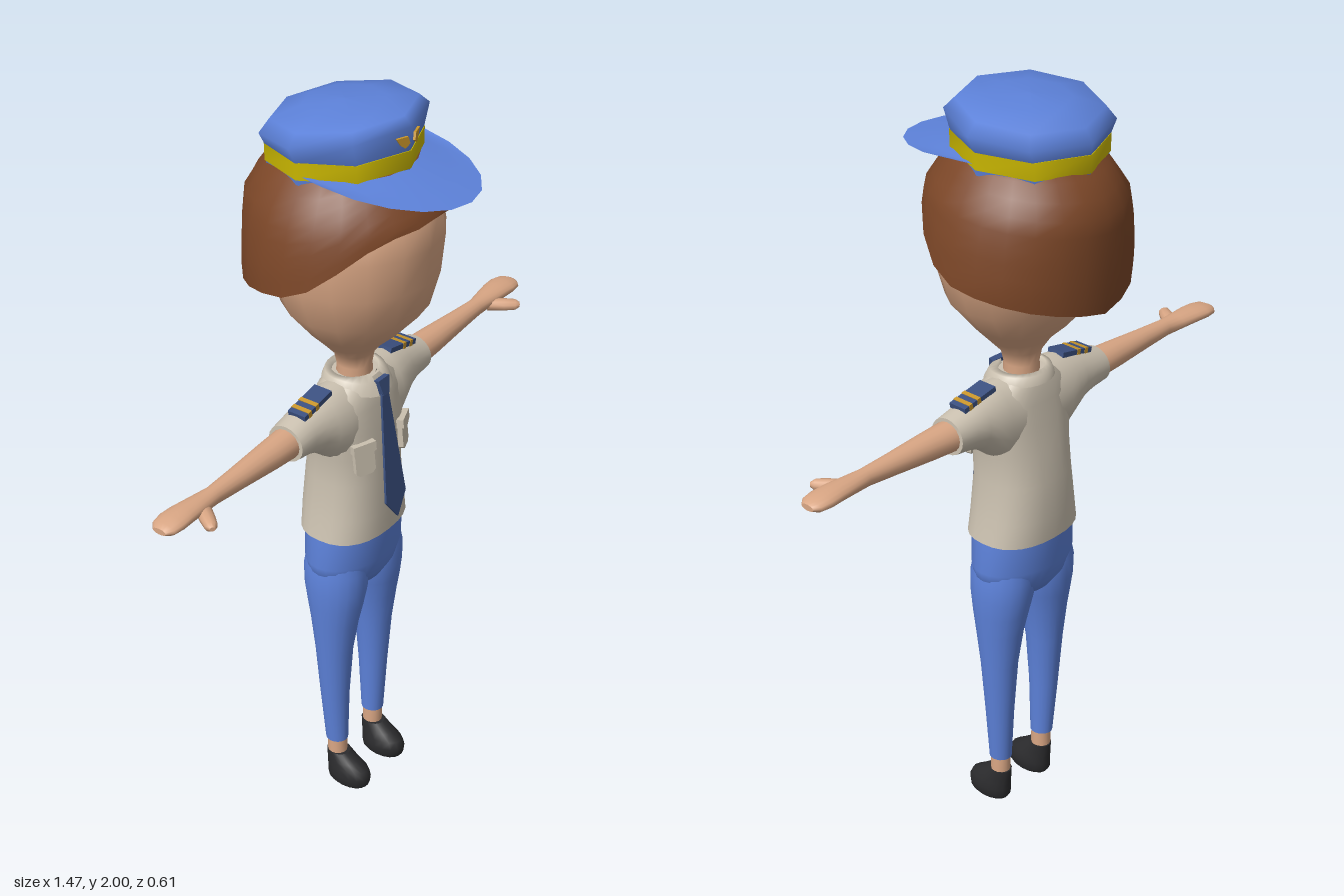
import * as THREE from 'three';

const COLORS = { skin: 0xd9a684, hair: 0x7b4627, blue: 0x5d82da, band: 0xcbb800, shirt: 0xcbc1b0, navy: 0x3b5080, gold: 0xc9962c, shoe: 0x2b2b2d };

// Smooth grid surface; fn(row, col) returns [x, y, z], rows run upward
function grid(rows, cols, closed, fn) {
  const pos = [], idx = [], n = closed ? cols : cols + 1;
  for (let i = 0; i <= rows; i++) for (let j = 0; j < n; j++) pos.push(...fn(i, j));
  for (let i = 0; i < rows; i++) {
    for (let j = 0; j < cols; j++) {
      const a = i * n + j, b = i * n + (j + 1) % n;
      idx.push(a, a + n, b, b, a + n, b + n);
    }
  }
  const g = new THREE.BufferGeometry();
  g.setAttribute('position', new THREE.Float32BufferAttribute(pos, 3));
  g.setIndex(idx);
  g.computeVertexNormals();
  return g;
}

// Capped loft along y from rings [y, cx, cz, rx, rz, slope]; the doubled end rings keep the caps sharp
function loft(rings, seg = 20, power = 2) {
  const cap = (r) => [r[0], r[1], r[2], 0, 0, 0];
  const first = rings[0], last = rings[rings.length - 1];
  const all = [cap(first), first, ...rings, last, cap(last)];
  const curve = (v) => Math.sign(v) * Math.abs(v) ** (2 / power);
  return grid(all.length - 1, seg, true, (i, j) => {
    const [y, cx, cz, rx, rz, slope = 0] = all[i], a = j / seg * Math.PI * 2;
    const z = rz * curve(Math.sin(a));
    return [cx + rx * curve(Math.cos(a)), y + slope * z, cz + z];
  });
}

// Loft along +x from rings [x, cy, cz, ry, rz]
const loftX = (rings, seg) => loft(rings.map(([x, y, ...r]) => [x, -y, ...r]), seg).rotateZ(Math.PI / 2).scale(1, 1, 1).rotateZ(-Math.PI);

function mirrored(geo) {
  const g = geo.clone().applyMatrix4(new THREE.Matrix4().makeScale(-1, 1, 1));
  const idx = g.index ? Array.from(g.index.array) : Array.from({ length: g.attributes.position.count }, (_, i) => i);
  for (let i = 0; i < idx.length; i += 3) [idx[i], idx[i + 1]] = [idx[i + 1], idx[i]];
  g.setIndex(idx);
  return g;
}

// Linear lookup in a table of [key, value...] rows
function lookup(table, k, c = 1) {
  for (let i = 1; i < table.length; i++) {
    const p = table[i - 1], q = table[i];
    if (k <= q[0]) return THREE.MathUtils.lerp(p[c], q[c], Math.max(0, (k - p[0]) / (q[0] - p[0])));
  }
  return table[table.length - 1][c];
}

function extrude(points, depth) {
  const shape = new THREE.Shape(points.map(([x, y]) => new THREE.Vector2(x, y)));
  return new THREE.ExtrudeGeometry(shape, { depth, bevelEnabled: false });
}

export function createModel() {
  const model = new THREE.Group();
  const add = (name, geo, color, thin = false) => {
    const mat = new THREE.MeshStandardMaterial({ color: COLORS[color] });
    if (thin) mat.side = THREE.DoubleSide;
    const mesh = new THREE.Mesh(geo, mat);
    mesh.name = name;
    model.add(mesh);
  };
  const pair = (name, geo, color) => {
    add(name + 'Left', geo, color);
    add(name + 'Right', mirrored(geo), color);
  };

  // Head and neck
  add('head', loft([
    [1.22, 0, -0.033, 0.05, 0.05], [1.3, 0, -0.033, 0.045, 0.045], [1.335, 0, -0.033, 0.055, 0.05],
    [1.37, 0, -0.03, 0.088, 0.075], [1.41, 0, -0.03, 0.125, 0.118], [1.485, 0, -0.028, 0.185, 0.183],
    [1.58, 0, -0.033, 0.215, 0.213], [1.68, 0, -0.035, 0.225, 0.225], [1.77, 0, -0.035, 0.205, 0.215],
    [1.84, 0, -0.05, 0.14, 0.15], [1.87, 0, -0.05, 0, 0]], 16), 'skin');

  // Hair: shell whose hem is high at the fringe and low at the nape
  const hem = [[0, 1.768], [30, 1.752], [50, 1.715], [68, 1.64], [85, 1.595], [110, 1.573], [145, 1.54], [180, 1.51]];
  const hairSize = [[1.5, 0.257, 0.25], [1.6, 0.264, 0.256], [1.69, 0.253, 0.258], [1.77, 0.232, 0.255],
    [1.82, 0.2, 0.222], [1.86, 0.172, 0.19], [1.89, 0.12, 0.13], [1.92, 0, 0]];
  add('hair', grid(13, 24, true, (i, j) => {
    const a = j / 24 * Math.PI * 2, s = Math.sin(a), c = Math.cos(a);
    const low = lookup(hem, Math.acos(THREE.MathUtils.clamp(s, -1, 1)) * 180 / Math.PI);
    // the first rows turn the hem inward to give it thickness
    const inner = i < 2, y = inner ? low + 0.03 * (1 - i) : low + (1.92 - low) * Math.max(0, i - 3) / 10;
    const k = inner ? 0.82 : 1;
    return [c * k * lookup(hairSize, y), y, -0.05 + s * k * lookup(hairSize, y, 2)];
  }), 'hair', true);

  // Cap: eight-sided band and crown, tilted back
  const cz = -0.06;
  add('capBase', loft([[1.845, 0, cz, 0.183, 0.186, 0.06], [1.866, 0, cz, 0.186, 0.188, 0.06]], 8), 'blue');
  add('capBand', loft([[1.86, 0, cz, 0.188, 0.19, 0.06], [1.905, 0, cz, 0.19, 0.19, 0.06]], 8), 'band');
  add('capCrown', loft([[1.9, 0, cz, 0.188, 0.187, 0.06], [1.948, 0, cz, 0.214, 0.192, 0.15],
    [1.976, 0, cz, 0.185, 0.17, 0.13], [1.993, 0, cz, 0.1, 0.1, 0.07], [1.997, 0, cz, 0, 0]], 8), 'blue');
  add('capVisor', grid(3, 10, false, (i, j) => {
    const a = (j / 10 - 0.5) * Math.PI, s = Math.sin(a), c = Math.cos(a), t = i / 3;
    const mix = THREE.MathUtils.lerp;
    return [mix(0.18, 0.198, t) * s, mix(1.87, 1.872 - 0.036 * c, t), mix(-0.06 + 0.18 * c, 0.02 + 0.28 * c, t)];
  }), 'blue', true);
  pair('capBadge', extrude([[0.008, -0.004], [0.022, -0.014], [0.034, -0.005], [0.046, 0.014], [0.014, 0.014]], 0.006)
    .rotateY(0.35).translate(0, 1.944, 0.132), 'gold');

  // Shirt
  add('shirtBody', loft([
    [0.835, 0, -0.037, 0.15, 0.114], [0.9, 0, -0.038, 0.138, 0.114], [1.0, 0, -0.037, 0.126, 0.109],
    [1.08, 0, -0.032, 0.13, 0.1], [1.15, 0, -0.03, 0.142, 0.091], [1.21, 0, -0.03, 0.138, 0.081],
    [1.25, 0, -0.031, 0.115, 0.074], [1.278, 0, -0.033, 0.07, 0.06]], 28, 2.4), 'shirt');
  pair('sleeve', loftX([
    [0.04, 1.17, -0.033, 0.108, 0.078], [0.11, 1.172, -0.034, 0.104, 0.077], [0.145, 1.184, -0.036, 0.087, 0.07],
    [0.18, 1.194, -0.038, 0.07, 0.062], [0.22, 1.196, -0.04, 0.058, 0.056], [0.272, 1.193, -0.04, 0.048, 0.052]], 20), 'shirt');

  // Collar: folded band, open at the front with drooping points
  const collar = [[0.052, 1.265], [0.058, 1.289], [0.072, 1.285], [0.08, 1.262]];
  add('collar', grid(3, 24, false, (i, j) => {
    const a = 0.22 + j / 24 * (Math.PI * 2 - 0.44), front = Math.max(0, Math.cos(a)) ** 2 * (i > 1 ? i - 1 : 0);
    const r = collar[i][0] + 0.009 * front;
    return [r * Math.sin(a) * 1.1, collar[i][1] - 0.011 * front, -0.033 + r * Math.cos(a)];
  }), 'shirt', true);

  // Tie hanging forward, with its knot
  add('tie', extrude([[-0.012, 0], [0.012, 0], [0.042, -0.315], [0, -0.372], [-0.042, -0.315]], 0.006)
    .rotateX(-0.12).translate(0, 1.255, 0.054), 'navy');
  add('tieKnot', extrude([[-0.022, 0.022], [0.022, 0.022], [0.012, -0.022], [-0.012, -0.022]], 0.016)
    .rotateX(-0.2).translate(0, 1.256, 0.046), 'navy');

  // Chest pockets with pointed flaps
  const onChest = (geo) => geo.rotateY(0.4).rotateX(-0.1).translate(0.08, 1.085, 0.05);
  pair('pocket', onChest(extrude([[-0.028, 0.03], [0.028, 0.03], [0.028, -0.034], [0.018, -0.043], [-0.018, -0.043], [-0.028, -0.034]], 0.014)), 'shirt');
  pair('pocketFlap', onChest(extrude([[-0.032, 0.046], [0.032, 0.046], [0.032, 0.022], [0, 0.01], [-0.032, 0.022]], 0.02)), 'shirt');

  // Shoulder boards with stripes
  const onShoulder = (geo) => geo.rotateZ(-0.2).translate(0.178, 1.264, -0.036);
  pair('shoulderBoard', onShoulder(new THREE.BoxGeometry(0.11, 0.014, 0.052)), 'navy');
  for (const x of [0.005, 0.034]) {
    pair('shoulderStripe', onShoulder(new THREE.BoxGeometry(0.012, 0.017, 0.054).translate(x, 0, 0)), 'gold');
  }

  // Arms with mitten hands and thumbs
  pair('arm', loftX([
    [0.24, 1.193, -0.04, 0.041, 0.044], [0.34, 1.193, -0.04, 0.036, 0.038], [0.46, 1.194, -0.04, 0.028, 0.029],
    [0.55, 1.195, -0.04, 0.023, 0.023], [0.6, 1.197, -0.042, 0.021, 0.03], [0.65, 1.199, -0.044, 0.02, 0.036],
    [0.69, 1.198, -0.045, 0.018, 0.039], [0.72, 1.196, -0.045, 0.015, 0.034], [0.735, 1.195, -0.045, 0.008, 0.02]], 16), 'skin');
  pair('thumb', loftX([
    [-0.045, 0, 0, 0.016, 0.02], [0, 0, 0, 0.016, 0.019], [0.03, 0, 0, 0.014, 0.016], [0.042, 0, 0, 0.006, 0.007]], 10)
    .rotateY(-0.95).translate(0.623, 1.187, 0.006), 'skin');

  // Trousers
  add('trouserHips', loft([
    [0.638, 0, -0.037, 0.015, 0.03], [0.665, 0, -0.037, 0.09, 0.072], [0.7, 0, -0.038, 0.148, 0.093],
    [0.75, 0, -0.038, 0.156, 0.106], [0.842, 0, -0.037, 0.148, 0.112]], 28), 'blue');
  pair('trouserLeg', loft([
    [0.14, 0.082, -0.035, 0.029, 0.031], [0.3, 0.087, -0.037, 0.038, 0.04], [0.45, 0.088, -0.037, 0.049, 0.051],
    [0.55, 0.085, -0.036, 0.061, 0.065], [0.61, 0.081, -0.036, 0.07, 0.077], [0.66, 0.077, -0.037, 0.077, 0.086],
    [0.72, 0.074, -0.038, 0.079, 0.089], [0.78, 0.07, -0.038, 0.07, 0.08]], 20), 'blue');

  // Ankles and shoes
  pair('ankle', loft([[0.07, 0.081, -0.034, 0.026, 0.027], [0.16, 0.081, -0.034, 0.025, 0.027]], 14), 'skin');
  pair('shoe', loft([
    [0, 0.08, 0.004, 0.032, 0.055], [0.012, 0.08, 0.004, 0.041, 0.064], [0.035, 0.08, 0.005, 0.043, 0.066],
    [0.055, 0.08, 0, 0.039, 0.062], [0.072, 0.08, -0.014, 0.034, 0.05], [0.096, 0.08, -0.031, 0.029, 0.034]], 16), 'shoe');

  return model;
}
